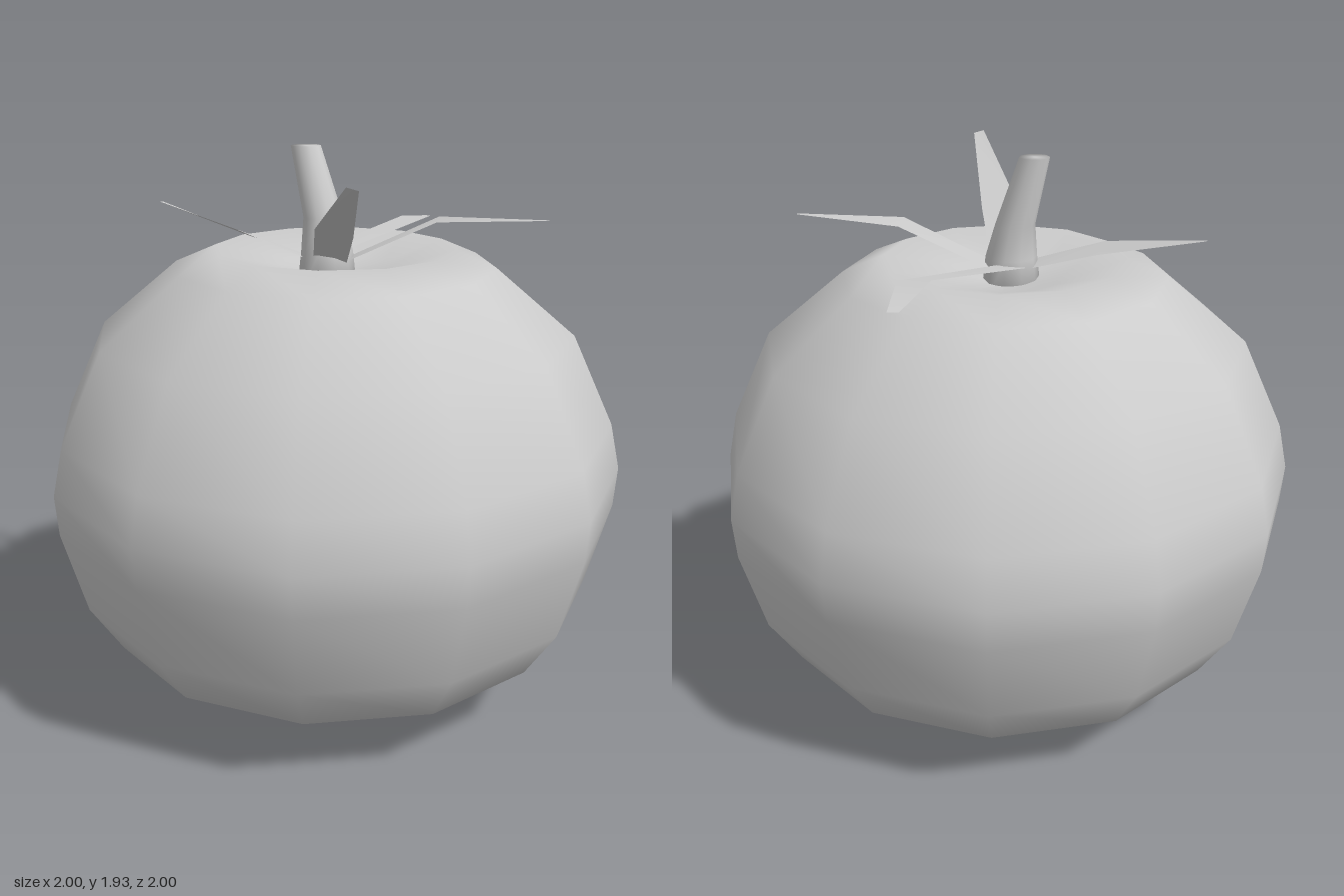
import * as THREE from 'three';
import { mergeVertices } from 'three/addons/utils/BufferGeometryUtils.js';

const grey = new THREE.MeshStandardMaterial({ color: 0xcccccc });
const thinGrey = new THREE.MeshStandardMaterial({ color: 0xcccccc, side: THREE.DoubleSide });

function addMesh(group, name, geometry, material) {
  const mesh = new THREE.Mesh(geometry, material);
  mesh.name = name;
  group.add(mesh);
}

// Twelve-sided fruit with a shallow hollow under the stem
function fruitGeometry() {
  const profile = [
    [0, 0], [0.4, 0.035], [0.8, 0.24], [0.91, 0.41], [0.99, 0.7], [1, 0.84], [0.965, 1],
    [0.82, 1.31], [0.55, 1.535], [0.41, 1.595], [0.19, 1.53], [0, 1.5],
  ];
  return new THREE.LatheGeometry(profile.map(([r, y]) => new THREE.Vector2(r, y)), 12);
}

// Tapered stem: each ring of a cylinder gets its own height, radius and lean
function stemGeometry() {
  const rings = [ // y, radius, z
    [1.47, 0.1, 0], [1.59, 0.087, 0], [1.7, 0.067, -0.015], [1.93, 0.05, -0.088],
  ];
  const geo = new THREE.CylinderGeometry(1, 1, 3, 10, 3);
  const pos = geo.attributes.position;
  for (let i = 0; i < pos.count; i++) {
    const [y, r, z] = rings[Math.round(pos.getY(i) + 1.5)];
    pos.setXYZ(i, pos.getX(i) * r - 0.04, y, pos.getZ(i) * r + z);
  }
  geo.deleteAttribute('uv');
  geo.deleteAttribute('normal');
  const smooth = mergeVertices(geo);
  smooth.computeVertexNormals();
  return smooth;
}

// Thin bent blade through left/right pairs at its base, middle and tip
function leafGeometry(pairs) {
  const geo = new THREE.BufferGeometry();
  geo.setAttribute('position', new THREE.Float32BufferAttribute(pairs.flat(2), 3));
  const index = [];
  for (let i = 0; i < pairs.length - 1; i++) {
    const a = i * 2;
    index.push(a, a + 1, a + 2, a + 1, a + 3, a + 2);
  }
  geo.setIndex(index);
  geo.computeVertexNormals();
  return geo;
}

export function createModel() {
  const model = new THREE.Group();
  model.name = 'tomato';
  addMesh(model, 'fruit', fruitGeometry(), grey);
  addMesh(model, 'stem', stemGeometry(), grey);

  // Pairs run so that the upper side is the front face
  const leaves = {
    backLeaf: [
      [[-0.1, 1.56, -0.02], [-0.03, 1.56, -0.08]],
      [[-0.18, 1.65, -0.28], [-0.11, 1.62, -0.29]],
      [[-0.168, 1.71, -0.65], [-0.155, 1.71, -0.65]],
    ],
    leftLeaf: [
      [[0, 1.57, -0.085], [0, 1.57, 0]],
      [[0.46, 1.64, -0.035], [0.52, 1.64, 0.05]],
      [[0.68, 1.61, -0.08], [0.7, 1.61, -0.05]],
    ],
    frontLeaf: [
      [[0.05, 1.56, 0.03], [-0.04, 1.56, 0.08]],
      [[0.2, 1.7, 0.29], [0.09, 1.7, 0.35]],
      [[0.29, 1.71, 0.65], [0.28, 1.71, 0.66]],
    ],
    rightLeaf: [
      [[-0.05, 1.56, 0.09], [-0.09, 1.56, -0.02]],
      [[-0.22, 1.68, 0.24], [-0.3, 1.71, 0.15]],
      [[-0.51, 1.875, 0.47], [-0.53, 1.885, 0.44]],
    ],
  };
  for (const [name, pairs] of Object.entries(leaves)) {
    addMesh(model, name, leafGeometry(pairs), thinGrey);
  }
  return model;
}
